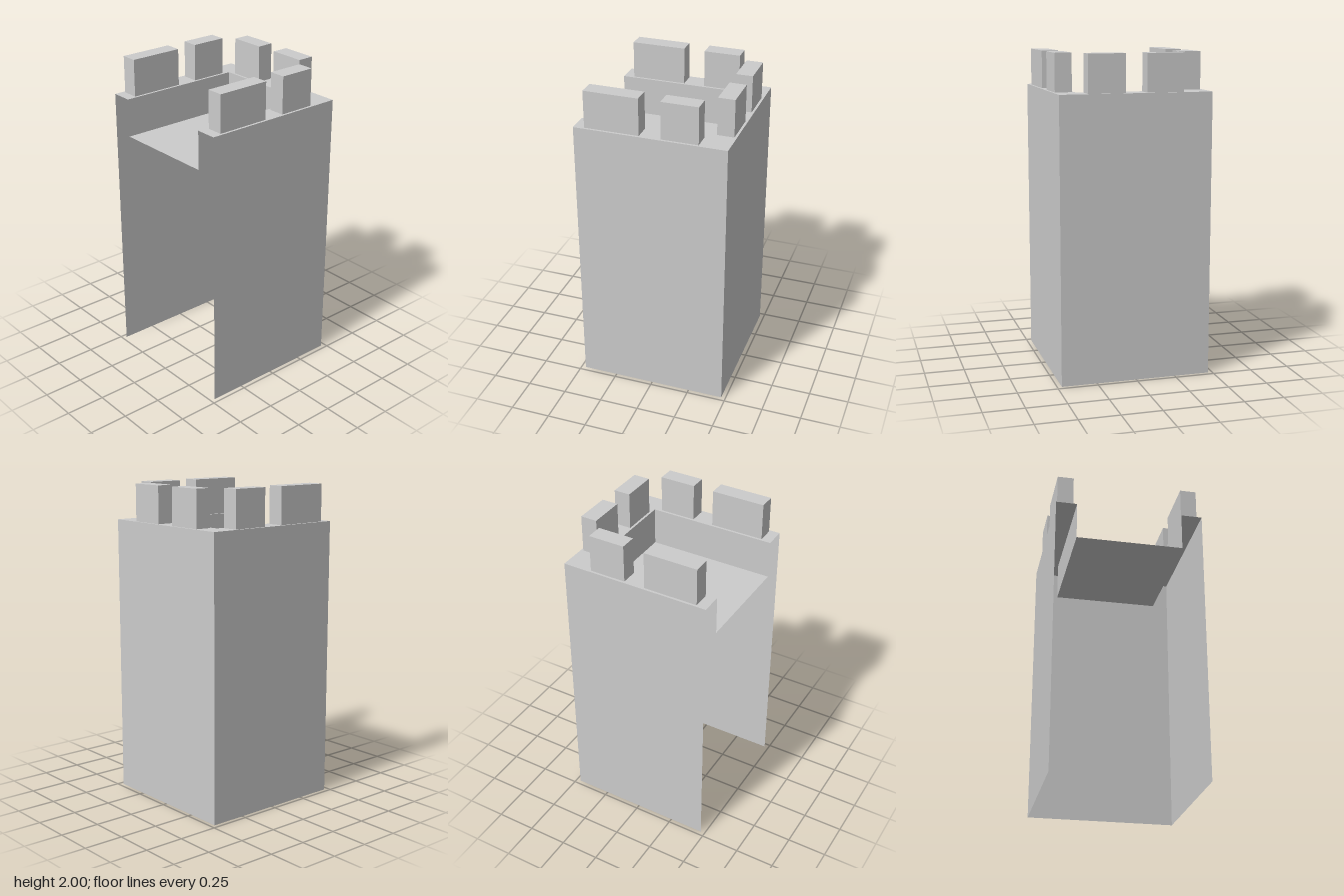
import * as THREE from 'three';

const OUT = 0.472;     // half width of the tower
const IN = 0.338;      // inner face of the parapet
const TOP = 1.767;     // top of the walls
const FLOOR = 1.525;   // roof deck inside the parapet
const HEIGHT = 2;

const material = new THREE.MeshStandardMaterial({
  color: 0xcccccc, flatShading: true, side: THREE.DoubleSide,
});

function add(group, name, geometry, x = 0, y = 0, z = 0) {
  const mesh = new THREE.Mesh(geometry, material);
  mesh.name = name;
  mesh.position.set(x, y, z);
  group.add(mesh);
  return mesh;
}

// Three upright sheets in a U, open towards -x; flip turns them inward
function wallRing(name, half, y0, y1, flip) {
  const ring = new THREE.Group();
  ring.name = name;
  const h = y1 - y0, y = (y0 + y1) / 2, turn = flip ? Math.PI : 0;
  const length = half + OUT, mid = (half - OUT) / 2;
  add(ring, 'frontWall', new THREE.PlaneGeometry(length, h), mid, y, half).rotation.y = turn;
  add(ring, 'backWall', new THREE.PlaneGeometry(length, h), mid, y, -half).rotation.y = Math.PI + turn;
  add(ring, 'rightWall', new THREE.PlaneGeometry(2 * half, h), half, y, 0).rotation.y = Math.PI / 2 + turn;
  return ring;
}

export function createModel() {
  const tower = new THREE.Group();
  tower.name = 'tower';

  // Outer walls and inner parapet faces
  tower.add(wallRing('outerWalls', OUT, 0, TOP, false));
  tower.add(wallRing('parapetInside', IN, FLOOR, TOP, true));

  // U-shaped wall top
  const rim = new THREE.Shape([
    [-OUT, -OUT], [OUT, -OUT], [OUT, OUT], [-OUT, OUT],
    [-OUT, IN], [IN, IN], [IN, -IN], [-OUT, -IN],
  ].map(([x, y]) => new THREE.Vector2(x, y)));
  add(tower, 'wallTop', new THREE.ShapeGeometry(rim).rotateX(-Math.PI / 2), 0, TOP, 0);

  // Roof deck
  add(tower, 'roofDeck', new THREE.PlaneGeometry(IN + OUT, 2 * IN).rotateX(-Math.PI / 2),
    (IN - OUT) / 2, FLOOR, 0);

  // Battlements: spans along each wall
  const h = HEIGHT - TOP, y = (TOP + HEIGHT) / 2;
  const thick = 0.104, centre = 0.405;
  for (const side of [1, -1]) {
    for (const [a, b] of [[-0.407, -0.067], [0.066, 0.295]]) {
      add(tower, side > 0 ? 'frontMerlon' : 'backMerlon',
        new THREE.BoxGeometry(b - a, h, thick), (a + b) / 2, y, side * centre);
    }
    add(tower, 'rightMerlon', new THREE.BoxGeometry(thick, h, 0.229), centre, y, side * 0.181);
  }
  return tower;
}
